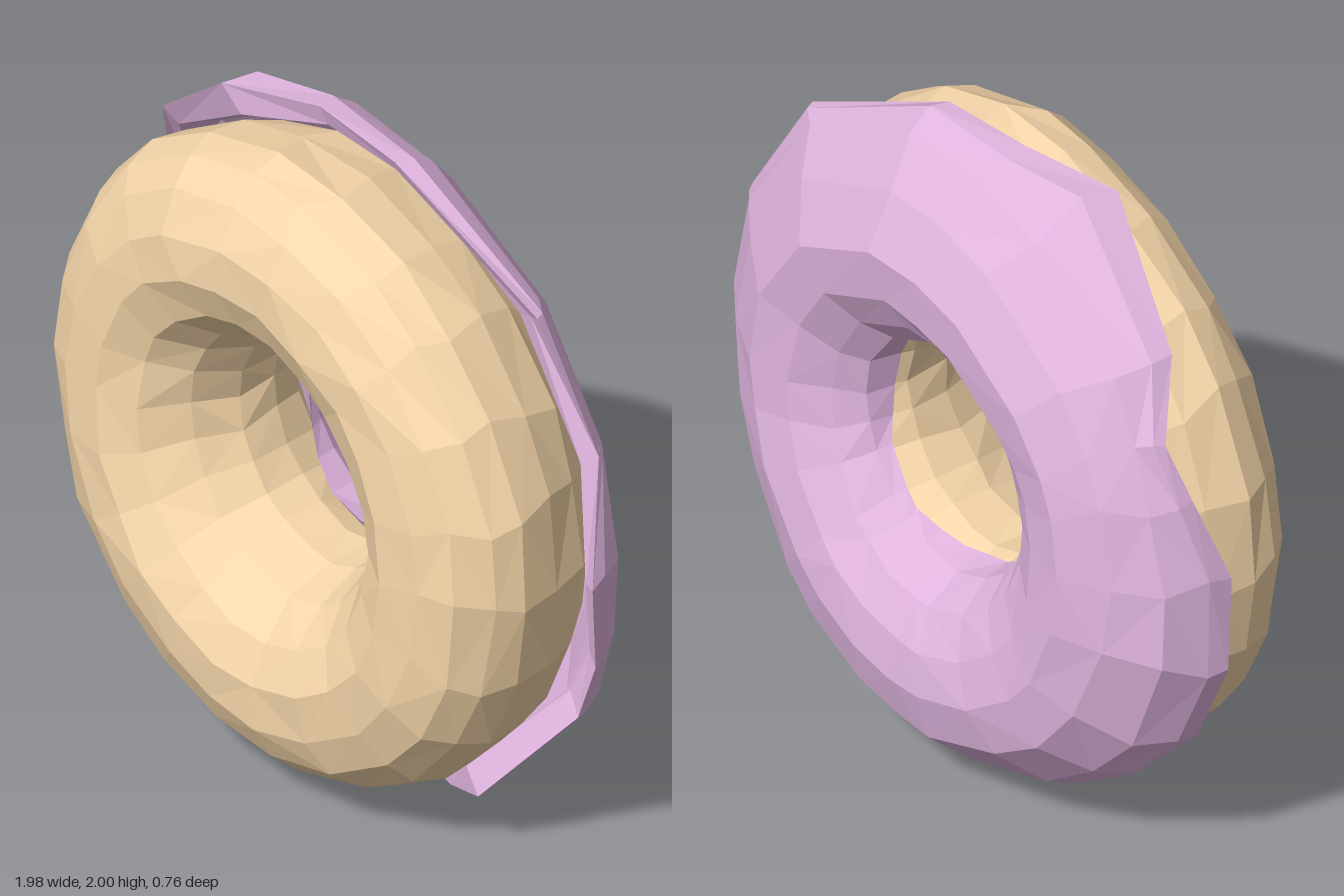
import * as THREE from 'three';

const CY = 0.975;

// Repeatable offset in the range -1..1
function noise(i, j) {
  const s = Math.sin(i * 127.1 + j * 311.7) * 43758.5453;
  return (s - Math.floor(s)) * 2 - 1;
}

// Facetted ring: loops[i] is a closed cross-section of [radius, z] at degrees[i]
function ring(name, color, degrees, loops, jitter) {
  const pos = [], index = [];
  const count = loops.length, n = loops[0].length;
  loops.forEach((loop, i) => loop.forEach(([r, z], j) => {
    const t = THREE.MathUtils.degToRad(degrees[i]) + noise(i + 31, j) * jitter * 3;
    const rr = r + noise(i, j + 7) * jitter * 0.5;
    pos.push(Math.cos(t) * rr, CY + Math.sin(t) * rr, z + noise(i + 3, j + 19) * jitter * 0.6);
  }));
  for (let i = 0; i < count; i++) {
    for (let j = 0; j < n; j++) {
      const i2 = (i + 1) % count, j2 = (j + 1) % n;
      const a = i * n + j, b = i2 * n + j, c = i2 * n + j2, d = i * n + j2;
      // Mix the diagonals for an irregular facet pattern
      if (noise(i, j) > 0) index.push(a, b, c, a, c, d);
      else index.push(a, b, d, b, c, d);
    }
  }
  const geo = new THREE.BufferGeometry();
  geo.setAttribute('position', new THREE.Float32BufferAttribute(pos, 3));
  geo.setIndex(index);
  const flat = geo.toNonIndexed();
  flat.computeVertexNormals();
  const mesh = new THREE.Mesh(flat, new THREE.MeshStandardMaterial({
    color, flatShading: true, side: THREE.DoubleSide }));
  mesh.name = name;
  return mesh;
}

// Dough cross-section [radius, z], from the outer rim round the front and hole
const DOUGH = [
  [0.937, 0.13], [0.908, 0.22], [0.84, 0.3], [0.73, 0.348], [0.6, 0.36],
  [0.48, 0.31], [0.39, 0.2], [0.338, 0.07], [0.335, -0.06], [0.38, -0.17],
  [0.5, -0.25], [0.65, -0.27], [0.79, -0.21], [0.88, -0.11], [0.922, 0.01],
];

// Wavy outer edge of the icing: [degrees, radius, z]
const EDGE = [
  [0, 0.99, -0.05], [21, 0.97, -0.145], [47, 0.99, -0.09], [78, 0.99, -0.02],
  [96, 1.005, -0.01], [110, 1.04, 0.09], [136, 0.995, 0], [150, 0.97, -0.11],
  [160, 0.96, -0.07], [175, 0.985, 0.02], [191, 1.02, 0], [210, 1.015, -0.02],
  [224, 1.0, -0.06], [241, 1.0, -0.06], [261, 1.013, -0.1], [271, 1.003, -0.12],
  [285, 0.975, -0.08], [300, 1.0, 0.03], [310, 1.035, 0.08], [332, 1.02, -0.08],
  [345, 1.0, -0.09],
];

// Icing cross-section: hidden underside, inner lip, domed back, outer lip
function icingLoop([deg, radius, e]) {
  const a = THREE.MathUtils.degToRad(deg), s = Math.sin(a);
  const R = radius + 0.025 * s;
  const back = -0.335 + 0.018 * s - 0.026 * s * s;
  const inner = -0.13 + 0.03 * Math.sin(a * 3 + 1);
  return [
    [0.91, -0.12], [0.8, -0.22], [0.6, -0.285], [0.43, -0.22], [0.355, inner - 0.02],
    [0.335, inner], [0.353, -0.19], [0.42, back + 0.08], [0.53, back + 0.015],
    [0.67 + 0.01 * s, back], [0.82 + 0.02 * s, back + 0.06 + 0.025 * s],
    [Math.min(R, 1.01) - 0.05, Math.min(-0.18 + 0.025 * s, e - 0.05)],
    [R - 0.005, e * 0.6 - 0.07], [R, e], [0.945 + 0.02 * s, e - 0.02],
  ];
}

export function createModel() {
  const group = new THREE.Group();
  group.name = 'icedRing';

  // Dough, flatter at the sides and thickest toward the bottom
  const degrees = Array.from({ length: 22 }, (_, i) => i * 360 / 22);
  const loops = degrees.map((deg) => {
    const s = Math.sin(THREE.MathUtils.degToRad(deg));
    const swell = 0.985 - 0.03 * s + 0.045 * s * s;
    return DOUGH.map(([r, z]) => [r, z > 0 ? z * swell : z]);
  });
  group.add(ring('dough', 0xf6d7aa, degrees, loops, 0.013));

  // Icing shell draped over the back
  group.add(ring('icing', 0xdfb4de, EDGE.map((k) => k[0]), EDGE.map(icingLoop), 0.01));
  return group;
}
